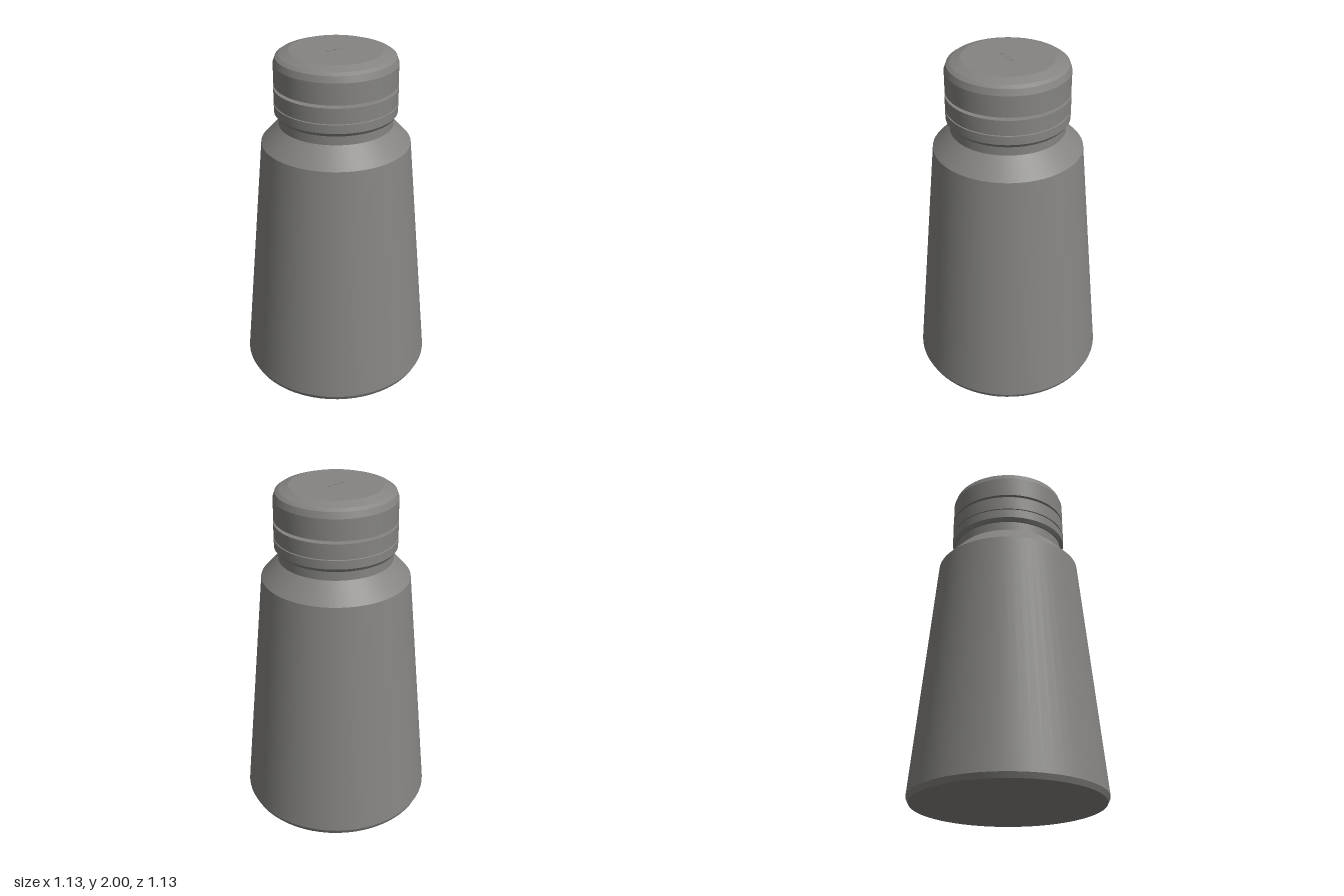
import * as THREE from 'three';
import { toCreasedNormals } from 'three/addons/utils/BufferGeometryUtils.js';

const SEGMENTS = 64;

export function createModel() {
  const model = new THREE.Group();
  model.name = 'shaker';

  const grey = new THREE.MeshStandardMaterial({ color: 0x858482 });
  grey.name = 'warm grey';

  // Turns a bottom-to-top profile of [radius, height] into a solid part
  function turned(name, profile) {
    const points = profile.map(([r, y]) => new THREE.Vector2(r, y));
    const geometry = toCreasedNormals(new THREE.LatheGeometry(points, SEGMENTS), 0.2);
    const mesh = new THREE.Mesh(geometry, grey);
    mesh.name = name;
    model.add(mesh);
  }

  // Tapered body with chamfered foot, sloped shoulder and short neck
  turned('body', [
    [0, 0], [0.55, 0], [0.564, 0.03], [0.428, 1.465],
    [0.327, 1.575], [0.327, 1.64], [0, 1.64],
  ]);

  // Two collar rings with a fine groove between them
  turned('collar', [
    [0, 1.63], [0.335, 1.63], [0.349, 1.65], [0.349, 1.7],
    [0.343, 1.702], [0.343, 1.708], [0.349, 1.71], [0.349, 1.793], [0, 1.793],
  ]);

  // Cap, separated from the collar by a narrow gap
  turned('cap', [
    [0, 1.81], [0.347, 1.81], [0.347, 1.93], [0.335, 1.965],
    [0.315, 1.979], [0.26, 1.998], [0, 1.998],
  ]);

  // Row of three pouring holes
  for (const x of [-0.047, 0, 0.047]) {
    const hole = new THREE.Mesh(new THREE.CylinderGeometry(0.014, 0.014, 0.004, 24), grey);
    hole.name = 'pouringHole';
    hole.position.set(x, 1.998, 0);
    model.add(hole);
  }

  return model;
}
